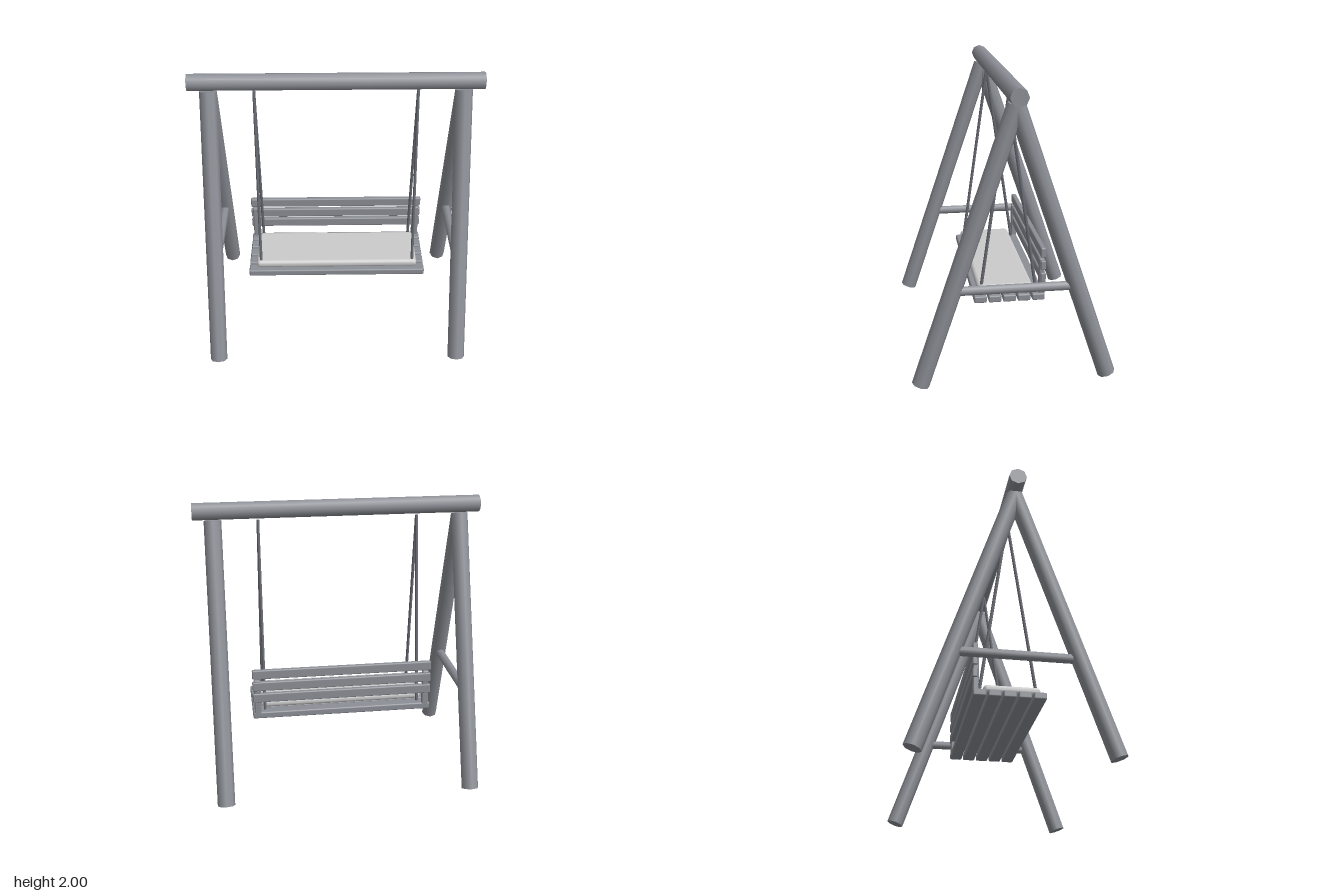
import * as THREE from 'three';
import { RoundedBoxGeometry } from 'three/addons/geometries/RoundedBoxGeometry.js';

const wood = new THREE.MeshStandardMaterial({ color: 0x8c8f96 });
const rope = new THREE.MeshStandardMaterial({ color: 0x6a6d75 });
const fabric = new THREE.MeshStandardMaterial({ color: 0xcccccc });

// Round bar running between two points
function bar(name, from, to, radius, sides, material) {
  const a = new THREE.Vector3(...from);
  const b = new THREE.Vector3(...to);
  const axis = b.clone().sub(a);
  const mesh = new THREE.Mesh(new THREE.CylinderGeometry(radius, radius, axis.length(), sides), material);
  mesh.position.copy(a).add(b).multiplyScalar(0.5);
  mesh.quaternion.setFromUnitVectors(new THREE.Vector3(0, 1, 0), axis.normalize());
  mesh.name = name;
  return mesh;
}

// Board or pad with softened edges
function board(name, size, position, radius, segments, material) {
  const mesh = new THREE.Mesh(new RoundedBoxGeometry(...size, segments, radius), material);
  mesh.position.set(...position);
  mesh.name = name;
  return mesh;
}

export function createModel() {
  const model = new THREE.Group();
  model.name = 'gardenSwing';

  // A-frame: top beam, splayed legs and a cross brace at each end
  const frame = new THREE.Group();
  frame.name = 'frame';
  frame.add(bar('topBeam', [-1, 1.94, 0], [1, 1.94, 0], 0.06, 8, wood));
  for (const side of [-1, 1]) {
    const x = side * 0.863;
    const label = side > 0 ? 'left' : 'right';
    for (const end of [1, -1]) {
      const name = label + (end > 0 ? 'FrontLeg' : 'BackLeg');
      frame.add(bar(name, [x, 0.022, end * 0.627], [x, 1.872, 0], 0.06, 8, wood));
    }
    frame.add(bar(label + 'CrossBrace', [x, 0.67, -0.4], [x, 0.67, 0.4], 0.032, 8, wood));
  }
  model.add(frame);

  // Hanging bench
  const bench = new THREE.Group();
  bench.name = 'bench';
  for (let i = -2; i <= 2; i++) {
    bench.add(board('seatSlat', [1.285, 0.048, 0.087], [0, 0.503, i * 0.099], 0.01, 1, wood));
  }
  for (const y of [0.64, 0.728, 0.818]) {
    bench.add(board('backSlat', [1.285, 0.068, 0.036], [0, y, -0.229], 0.009, 1, wood));
  }
  for (const side of [-1, 1]) {
    bench.add(board('backPost', [0.048, 0.278, 0.038], [side * 0.607, 0.635, -0.222], 0.009, 1, wood));
  }
  bench.add(board('cushion', [1.175, 0.058, 0.38], [0, 0.556, 0.023], 0.026, 2, fabric));
  model.add(bench);

  // Suspension ropes, a pair from one point on each side
  const ropes = new THREE.Group();
  ropes.name = 'ropes';
  for (const x of [-0.555, 0.555]) {
    ropes.add(bar('frontRope', [x, 0.54, 0.188], [x, 1.87, 0], 0.011, 6, rope));
    ropes.add(bar('backRope', [x, 0.53, -0.193], [x, 1.87, 0], 0.011, 6, rope));
  }
  model.add(ropes);

  return model;
}
